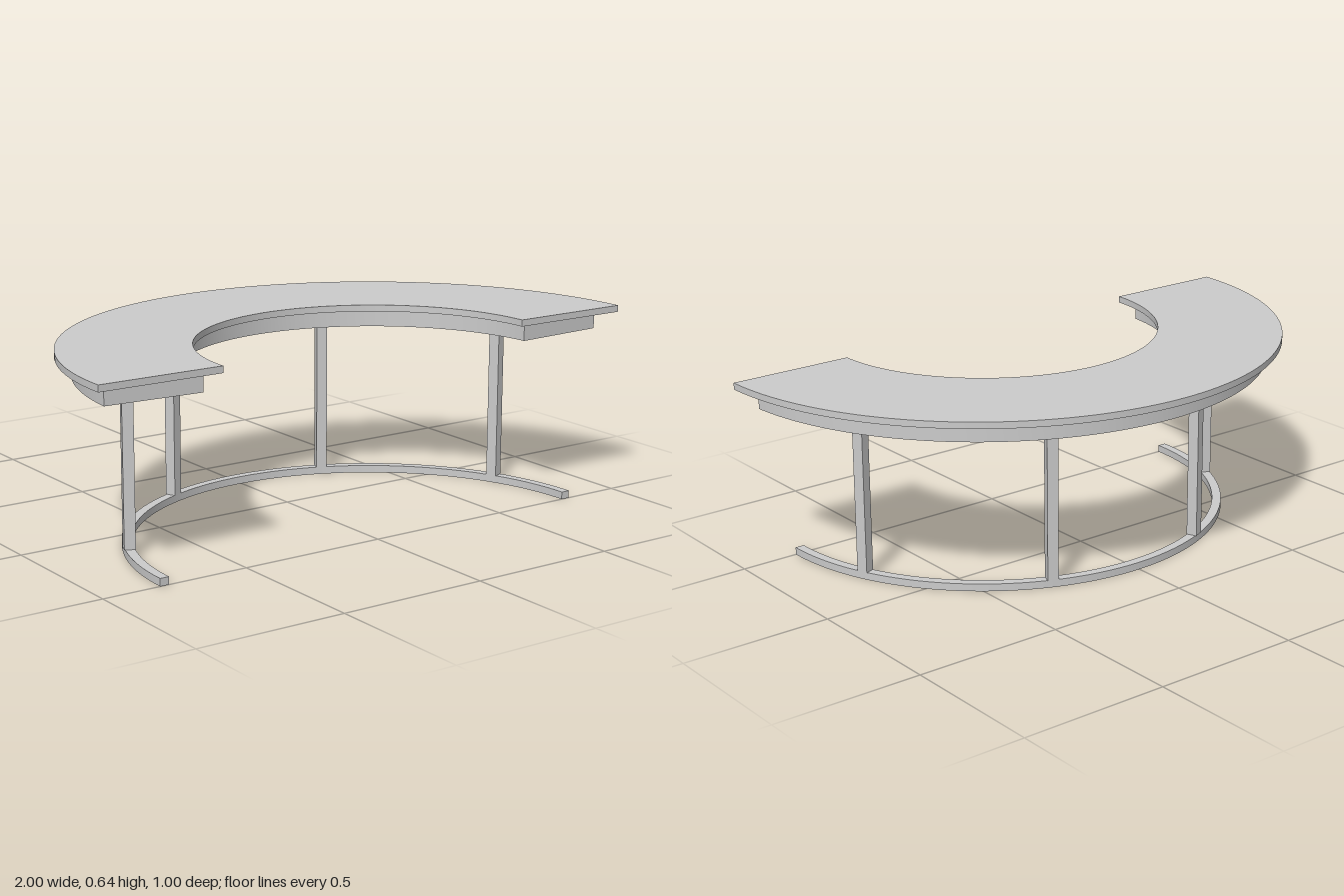
import * as THREE from 'three';
import { toCreasedNormals } from 'three/addons/utils/BufferGeometryUtils.js';

const CENTRE_Z = 0.5; // centre of all the arcs

export function createModel() {
  const group = new THREE.Group();
  const material = new THREE.MeshStandardMaterial({ color: 0xcccccc });

  const add = (name, geometry) => {
    const mesh = new THREE.Mesh(geometry, material);
    mesh.name = name;
    group.add(mesh);
    return mesh;
  };

  // Half-ring slab bulging to the back; trim is the angle cut off at each end
  const halfRing = (name, inner, outer, y0, y1, trim = 0) => {
    const shape = new THREE.Shape();
    shape.absarc(0, 0, outer, trim, Math.PI - trim, false);
    shape.absarc(0, 0, inner, Math.PI - trim, trim, true);
    shape.closePath();
    const geometry = new THREE.ExtrudeGeometry(shape, {
      depth: y1 - y0, bevelEnabled: false, curveSegments: 64,
    });
    geometry.rotateX(-Math.PI / 2);
    add(name, toCreasedNormals(geometry, 0.5)).position.set(0, y0, CENTRE_Z);
  };

  halfRing('tableTop', 0.577, 1, 0.615, 0.637);
  halfRing('apron', 0.623, 0.95, 0.555, 0.615, 0.063);
  halfRing('baseRail', 0.774, 0.805, 0, 0.025);

  // Four square legs, turned to follow the arc
  const legRadius = 0.79;
  for (let i = 0; i < 4; i++) {
    const angle = Math.PI / 8 + i * Math.PI / 4;
    const leg = add('leg', new THREE.BoxGeometry(0.036, 0.53, 0.036));
    leg.position.set(
      legRadius * Math.cos(angle), 0.29, CENTRE_Z - legRadius * Math.sin(angle));
    leg.rotation.y = angle;
  }

  return group;
}
